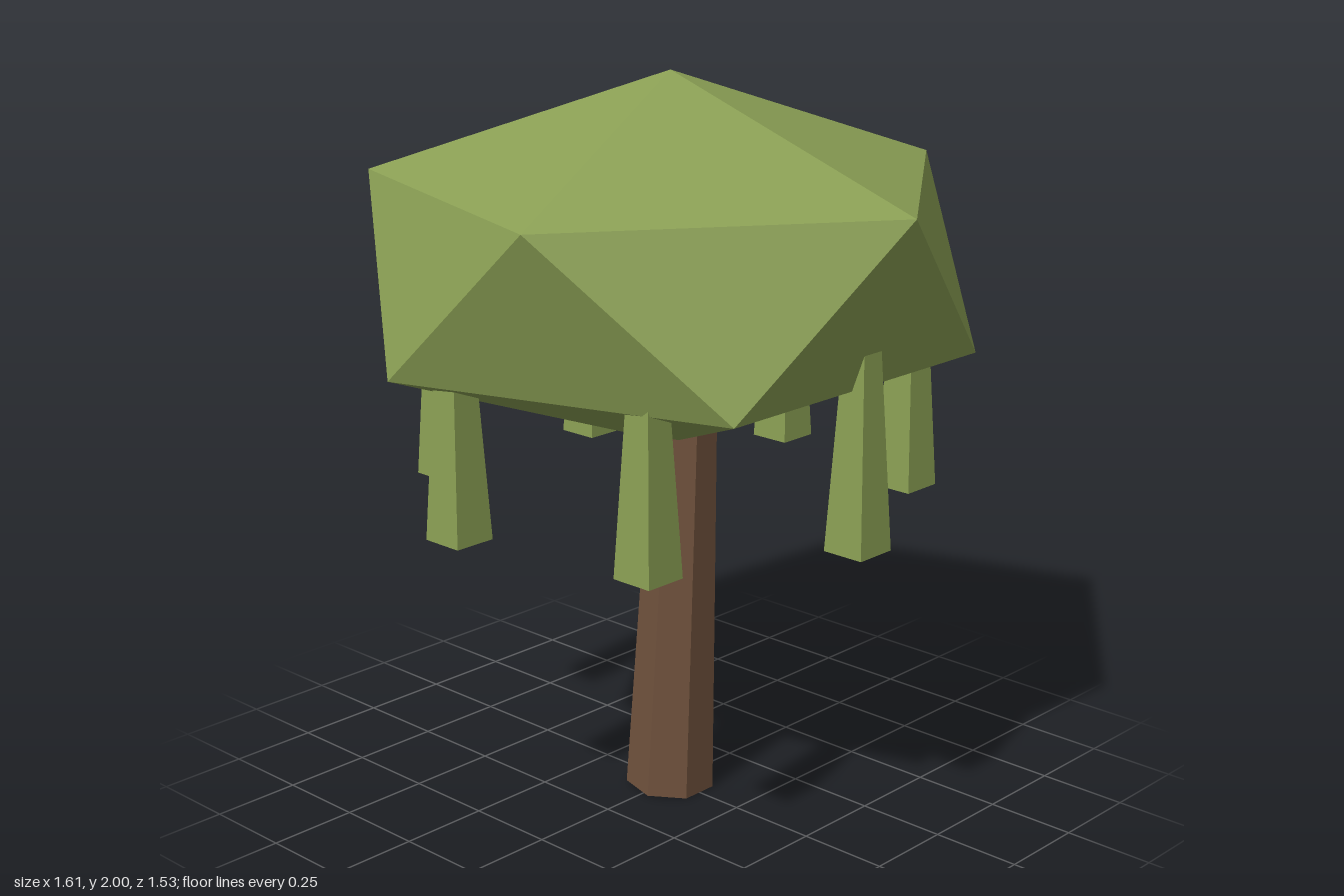
import * as THREE from 'three';
import { ConvexGeometry } from 'three/addons/geometries/ConvexGeometry.js';

const leafMaterial = new THREE.MeshStandardMaterial({ color: 0x8a9f54, flatShading: true });
const barkMaterial = new THREE.MeshStandardMaterial({ color: 0x70523d, flatShading: true });

function addMesh(parent, name, geometry, material) {
  const mesh = new THREE.Mesh(geometry, material);
  mesh.name = name;
  parent.add(mesh);
  return mesh;
}

export function createModel() {
  const tree = new THREE.Group();
  tree.name = 'tree';

  // Trunk: leaning, tapered seven-sided prism with a corner towards -x
  const trunkHeight = 1.2;
  const trunkGeometry = new THREE.CylinderGeometry(0.085, 0.124, trunkHeight, 7, 1, false, -Math.PI / 2);
  trunkGeometry.translate(0, trunkHeight / 2, 0);
  const trunk = addMesh(tree, 'trunk', trunkGeometry, barkMaterial);
  trunk.rotation.z = -0.05;
  trunk.position.y = 0.006;

  // Canopy: flattened icosahedron standing on a corner, two opposed rings of five
  const radius = 0.9, halfHeight = 0.5;
  const ringRadius = radius * 2 / Math.sqrt(5), ringY = halfHeight / Math.sqrt(5);
  const points = [new THREE.Vector3(0, halfHeight, 0), new THREE.Vector3(0, -halfHeight, 0)];
  for (let i = 0; i < 5; i++) {
    const a = i * Math.PI * 2 / 5;
    const x = ringRadius * Math.cos(a), z = ringRadius * Math.sin(a);
    points.push(new THREE.Vector3(x, ringY, z), new THREE.Vector3(-x, -ringY, -z));
  }
  addMesh(tree, 'canopy', new ConvexGeometry(points), leafMaterial).position.y = 1.5;

  // Hanging fronds: square tapered blocks in a ring, all axis-aligned
  const fronds = new THREE.Group();
  fronds.name = 'hangingFronds';
  tree.add(fronds);
  const frondGeometry = new THREE.CylinderGeometry(
    0.03 * Math.SQRT2, 0.06 * Math.SQRT2, 0.6, 4, 1, false, Math.PI / 4);
  for (let i = 0; i < 7; i++) {
    const a = i * Math.PI * 2 / 7;
    const frond = addMesh(fronds, 'frond', frondGeometry, leafMaterial);
    frond.position.set(0.65 * Math.cos(a), 1.15, 0.65 * Math.sin(a));
  }

  return tree;
}
